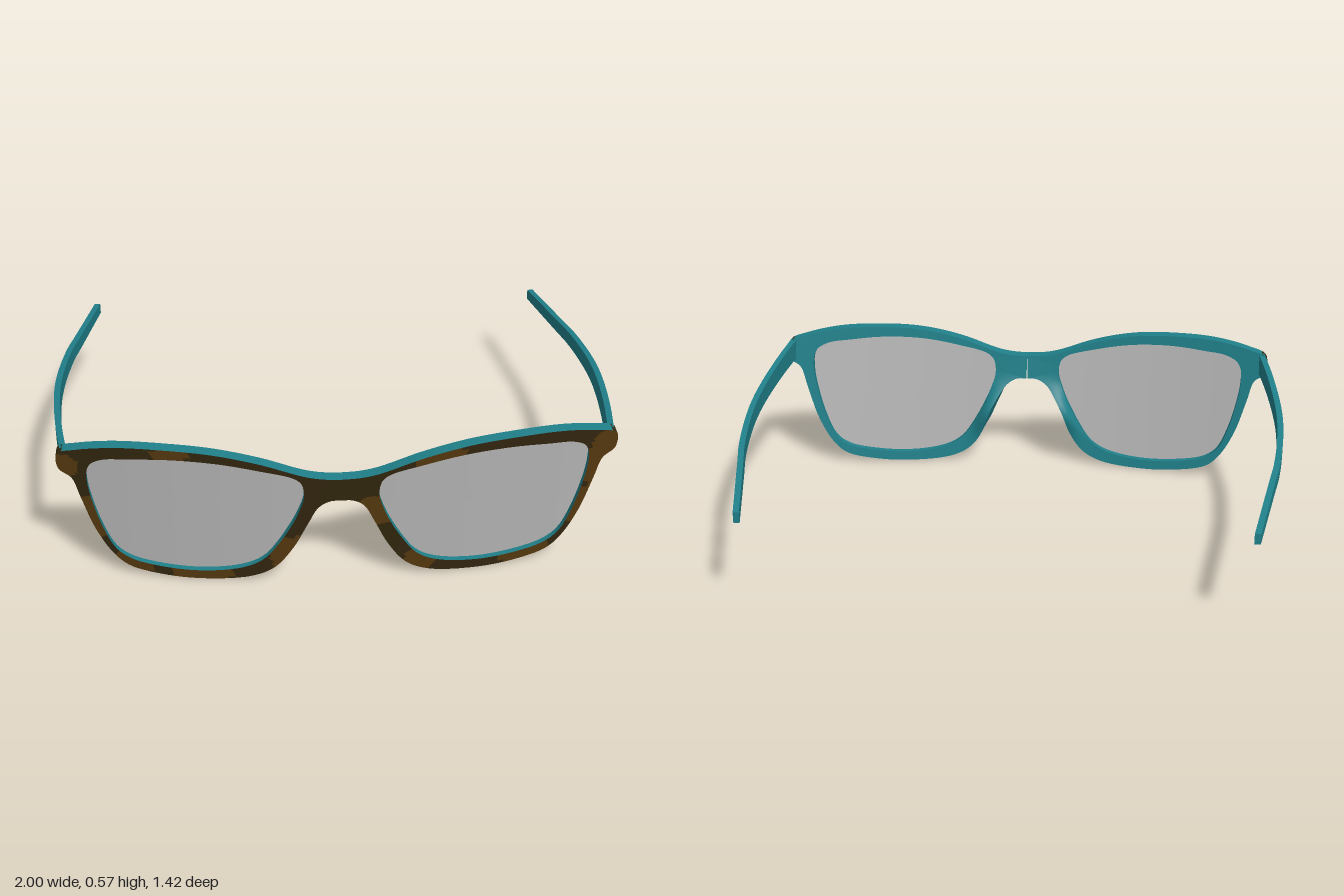
import * as THREE from 'three';

const mat = (name, color, side = THREE.FrontSide) => {
  const m = new THREE.MeshStandardMaterial({ color, side });
  m.name = name;
  return m;
};

// Half of the front: outer edge x, y and matching lens-opening x, y,
// running from the top of the bridge round to its underside
const RIM = [
  [0, .449, .13, .41], [.06, .452, .138, .435], [.125, .465, .165, .459], [.275, .519, .27, .489],
  [.435, .556, .42, .519], [.6, .569, .58, .529], [.76, .567, .72, .521], [.89, .545, .80, .513],
  [.957, .52, .845, .49], [.957, .455, .86, .46], [.915, .42, .863, .42], [.89, .337, .856, .35],
  [.848, .2, .822, .21], [.794, .096, .78, .115], [.74, .043, .73, .075], [.63, .012, .64, .05],
  [.484, 0, .484, .037], [.31, .018, .34, .058], [.23, .06, .27, .096], [.165, .15, .217, .166],
  [.115, .257, .163, .267], [.078, .33, .138, .335], [.04, .355, .13, .365], [0, .358, .128, .39],
];
// Amber patches on the front: x, y, radius
const SPOTS = [
  [-.94, .47, .05], [-.58, .55, .06], [-.87, .25, .09], [-.72, .06, .07], [-.48, .02, .1],
  [-.17, .12, .08], [.11, .3, .07], [.33, .52, .09], [.9, .4, .08], [.86, .22, .09],
  [.66, .04, .09], [.28, .07, .06], [.93, .48, .06],
];
const STEPS = 6;            // samples between rim points
const THICK = 0.045;

// Wrapped and tilted front surface
const frontZ = (x, y) => 0.715 - 0.138 * x * x - 0.1 * (0.5 - y);

// Swell of the back near the nose
const padBump = (x, y) =>
  Math.exp(-(((y - 0.23) / 0.09) ** 2)) * THREE.MathUtils.smoothstep(0.3 - x, 0, 0.12);

// Grid surface; pick(x, y) chooses a material index for each cell
function grid(nu, nv, point, flip, pick = () => 0) {
  const pos = [], lists = [[], []];
  for (let j = 0; j <= nu; j++) for (let k = 0; k <= nv; k++) pos.push(...point(j, k / nv));
  for (let j = 0; j < nu; j++) for (let k = 0; k < nv; k++) {
    const a = j * (nv + 1) + k, b = a + nv + 1, c = b + 1, d = a + 1;
    const mx = (pos[a * 3] + pos[c * 3]) / 2, my = (pos[a * 3 + 1] + pos[c * 3 + 1]) / 2;
    lists[pick(mx, my)].push(...(flip ? [a, c, b, a, d, c] : [a, b, c, a, c, d]));
  }
  const g = new THREE.BufferGeometry();
  g.setAttribute('position', new THREE.Float32BufferAttribute(pos, 3));
  g.setIndex([...lists[0], ...lists[1]]);
  g.addGroup(0, lists[0].length, 0);
  g.addGroup(lists[0].length, lists[1].length, 1);
  g.computeVertexNormals();
  return g;
}

export function createModel() {
  const teal = mat('teal', 0x20808a);
  const brown = mat('dark brown', 0x33270f);
  const amber = mat('amber brown', 0x573a10);
  const glass = mat('lens grey', 0xb8b8b8, THREE.DoubleSide);

  const model = new THREE.Group();
  model.name = 'glasses';
  const add = (parent, name, geometry, material) => {
    const m = new THREE.Mesh(geometry, material);
    m.name = name;
    parent.add(m);
  };

  // Smooth rim curves
  const curve = (i) => new THREE.CatmullRomCurve3(RIM.map((p) => new THREE.Vector3(p[i], p[i + 1], 0)));
  const n = (RIM.length - 1) * STEPS;
  const sample = (c) => Array.from({ length: n + 1 }, (_, j) => {
    const p = c.getPoint(j / n);
    return [Math.max(p.x, 0), Math.max(p.y, 0)];
  });
  const outer = sample(curve(0)), inner = sample(curve(2));
  const at = (list, j) => list[j % (n + 1)];
  const mix = (a, b, t) => [a[0] + (b[0] - a[0]) * t, a[1] + (b[1] - a[1]) * t];

  const templePath = new THREE.CatmullRomCurve3([
    [.938, .57], [.963, .4], [.983, .2], [.989, .05], [.983, -.1],
    [.965, -.27], [.945, -.38], [.885, -.715],
  ].map(([x, z]) => new THREE.Vector3(x, 0, z)));

  for (const s of [1, -1]) {
    const side = s > 0 ? 'left' : 'right';
    const flip = s < 0;
    const half = new THREE.Group();
    half.name = side + 'Frame';
    model.add(half);

    const front = ([x, y]) => [s * x, y, frontZ(x, y)];
    const back = ([x, y], swell) => {
      const b = padBump(x, y) * swell;
      return [s * (x + 0.02 * b), y, frontZ(x, y) - THICK - 0.05 * b];
    };
    const lerp3 = (a, b, t) => a.map((v, i) => v + (b[i] - v) * t);

    // Patterned front face
    add(half, side + 'FrontFace',
      grid(n + 1, 6, (j, v) => front(mix(at(inner, j), at(outer, j), v)), flip,
        (x, y) => (SPOTS.some(([a, b, r]) => Math.hypot(x - a, y - b) < r) ? 1 : 0)),
      [brown, amber]);
    // Outer edge, brown at the end piece
    add(half, side + 'OuterEdge',
      grid(n, 3, (j, v) => lerp3(front(outer[j]), back(outer[j], 1), v), flip,
        (x, y) => (Math.abs(x) > 0.935 && y < 0.53 ? 1 : 0)),
      [teal, brown]);
    // Back face, with the nose pad swelling from it
    add(half, side + 'BackFace',
      grid(n + 1, 6, (j, v) => back(mix(at(outer, j), at(inner, j), v), 1 - 0.7 * v * v), flip),
      [teal, teal]);
    // Edge of the lens opening
    add(half, side + 'LensEdge',
      grid(n + 1, 1, (j, v) => lerp3(back(at(inner, j), 0.3), front(at(inner, j)), v), flip),
      [teal, teal]);

    // Lens
    add(model, side + 'Lens',
      grid(n + 1, 8, (j, v) => {
        const [x, y] = mix([0.49, 0.29], at(inner, j), v);
        return [s * x, y, frontZ(x, y) - 0.022];
      }, flip),
      [glass, glass]);

    // Temple: a tapering bar bowed outward
    const bar = new THREE.BoxGeometry(0.022, 1, 1, 1, 1, 32);
    const p = bar.attributes.position;
    for (let i = 0; i < p.count; i++) {
      const t = 0.5 - p.getZ(i);
      const c = templePath.getPoint(t);
      const k = (0.56 - c.z) / 1.275;
      const top = 0.53 - 0.145 * k, bottom = 0.455 - 0.11 * k;
      p.setXYZ(i, s * c.x + p.getX(i), p.getY(i) > 0 ? top : bottom, c.z);
    }
    bar.computeVertexNormals();
    add(model, side + 'Temple', bar, teal);
  }
  return model;
}
